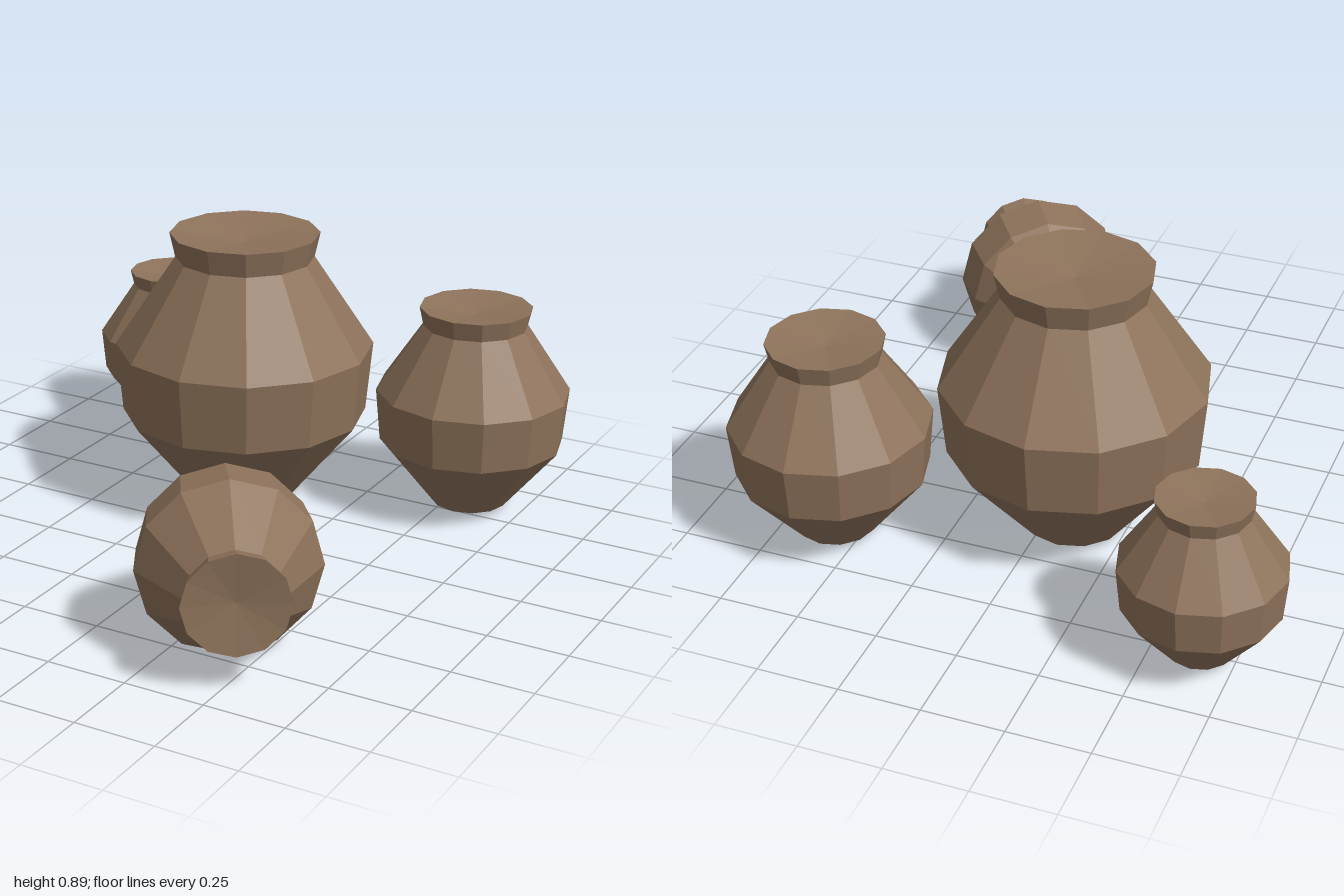
import * as THREE from 'three';

const clay = new THREE.MeshStandardMaterial({ color: 0x8e735b, flatShading: true });
clay.name = 'clay';

// Full-size jar profile from base centre, up the wall, to the dished mouth
const profile = [
  [0, 0], [0.16, 0], [0.389, 0.28], [0.41, 0.504],
  [0.219, 0.792], [0.237, 0.871], [0, 0.84],
].map(([r, y]) => new THREE.Vector2(r, y));

function makeJar(name, scale, x, y, z) {
  const jar = new THREE.Mesh(new THREE.LatheGeometry(profile, 12), clay);
  jar.name = name;
  jar.scale.setScalar(scale);
  jar.position.set(x, y, z);
  return jar;
}

export function createModel() {
  const group = new THREE.Group();
  group.name = 'clayJars';

  // Standing jars
  group.add(
    makeJar('largeJar', 1, -0.09, 0.027, -0.28),
    makeJar('mediumJar', 0.75, 0.58, 0.027, -0.565),
    makeJar('smallJar', 0.6, -0.645, 0.027, -0.755),
  );

  // Jar lying on its side, mouth turned to the front and left
  const fallen = makeJar('fallenJar', 0.65, 0.231, 0.27, 0.437);
  fallen.rotation.set(Math.PI / 2, 0.597, 0, 'YXZ');
  group.add(fallen);

  return group;
}
